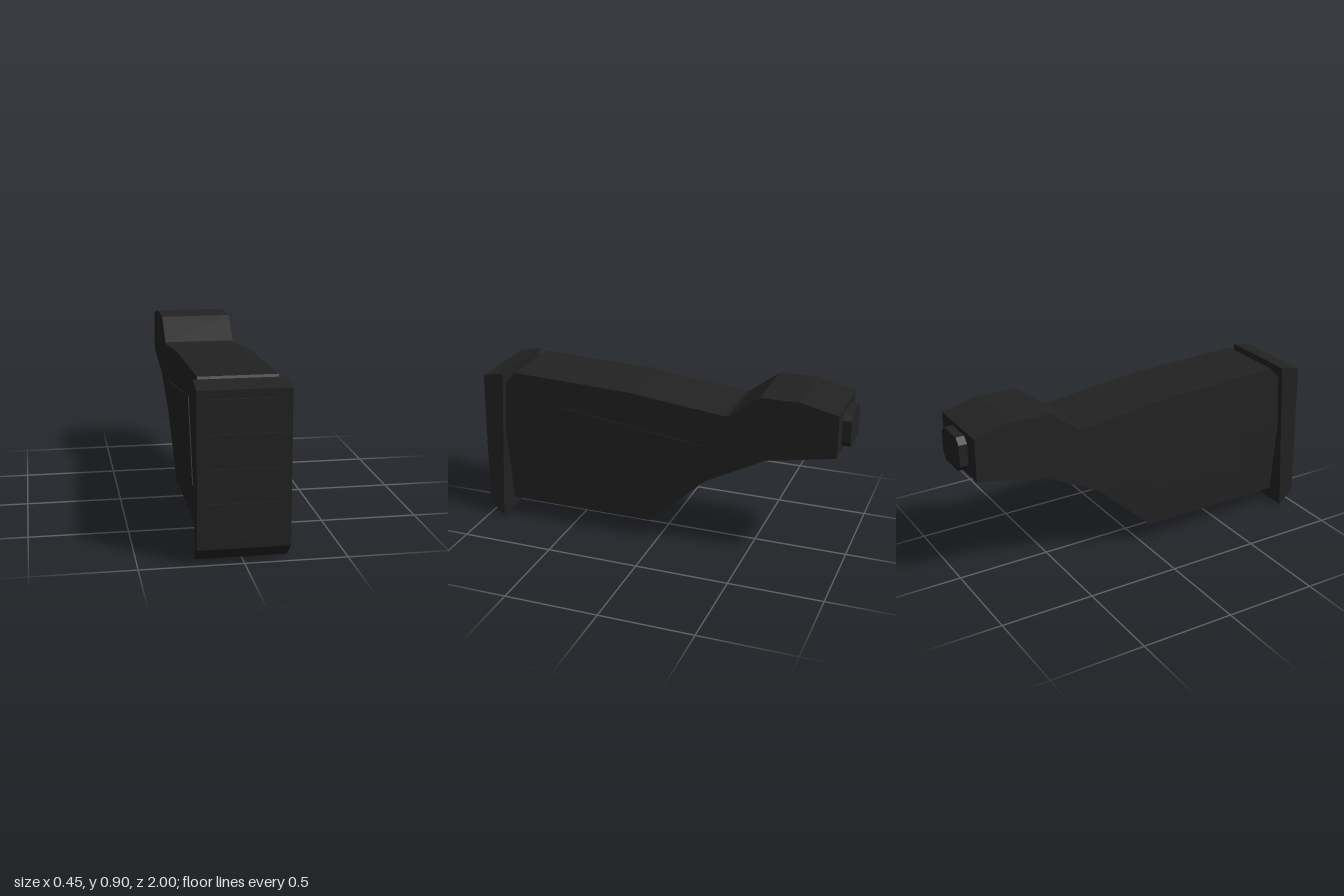
import * as THREE from 'three';

export function createModel() {
  const model = new THREE.Group();
  const black = new THREE.MeshStandardMaterial({ color: 0x222222 });
  black.name = 'matte black';

  function add(name, geometry) {
    const mesh = new THREE.Mesh(geometry, black);
    mesh.name = name;
    model.add(mesh);
    return mesh;
  }

  // Side profile of [z, y] points, extruded across x from x0 to x1
  function slab(name, points, x0, x1) {
    const shape = new THREE.Shape(points.map(([z, y]) => new THREE.Vector2(z, y)));
    const geometry = new THREE.ExtrudeGeometry(shape, { depth: x1 - x0, bevelEnabled: false });
    geometry.rotateY(-Math.PI / 2);
    geometry.translate(x1, 0, 0);
    return add(name, geometry);
  }

  // Stock body with its narrow neck
  slab('stockBody', [
    [0.855, 0.11], [0.04, 0.11], [-0.27, 0.395], [-0.59, 0.565], [-0.955, 0.633],
    [-0.955, 0.86], [-0.755, 0.905], [-0.55, 0.902], [-0.395, 0.783], [-0.375, 0.777],
    [0.15, 0.835], [0.81, 0.86], [0.868, 0.797], [0.887, 0.52],
  ], -0.196, 0.192);

  // Raised panel on each side
  const panel = [[0.677, 0.29], [0.068, 0.332], [-0.248, 0.596], [0.546, 0.70]];
  slab('leftSidePanel', panel, 0.19, 0.197);
  slab('rightSidePanel', panel, -0.201, -0.194);

  // Butt pad
  slab('buttPad', [[0.915, 0], [0.996, 0.075], [0.983, 0.835], [0.868, 0.86]], -0.224, 0.222);

  // Grip ribs across the pad, following its slight lean
  for (let i = 0; i < 5; i++) {
    const y = 0.123 + i * 0.1655;
    const front = 1.0 - i * 0.001;
    const rib = add('gripRib' + (i + 1), new THREE.BoxGeometry(0.38, 0.018, 0.04));
    rib.position.set(-0.001, y, front - 0.02);
  }

  // Chamfered mounting tab at the back
  const w = 0.103, h = 0.09, c = 0.032;
  const tabShape = new THREE.Shape([
    [-w + c, -h], [w - c, -h], [w, -h + c], [w, h - c],
    [w - c, h], [-w + c, h], [-w, h - c], [-w, -h + c],
  ].map(([x, y]) => new THREE.Vector2(x, y)));
  const tab = add('mountingTab', new THREE.ExtrudeGeometry(tabShape, { depth: 0.06, bevelEnabled: false }));
  tab.position.set(-0.002, 0.745, -1);

  return model;
}
